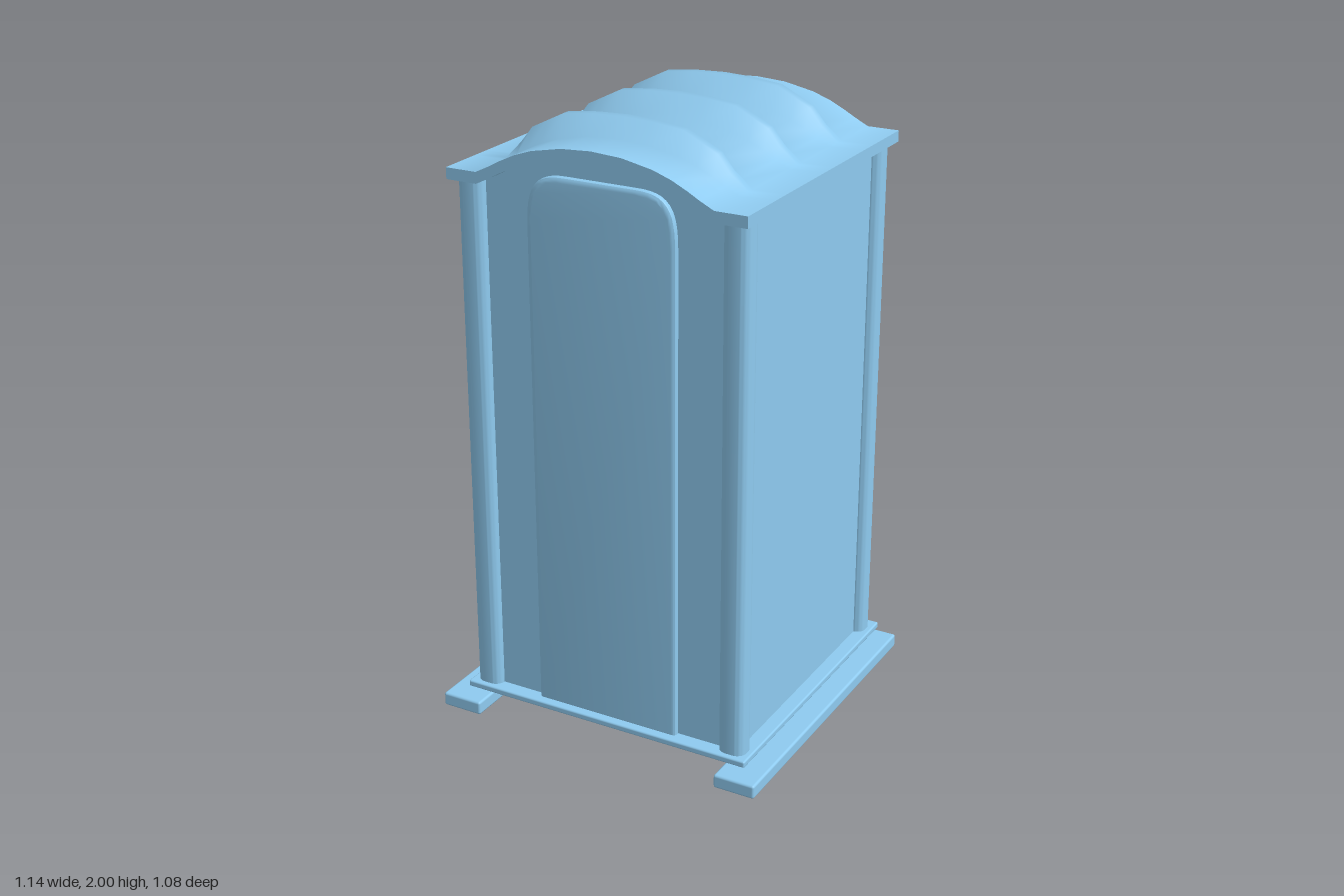
import * as THREE from 'three';
import { toCreasedNormals } from 'three/addons/utils/BufferGeometryUtils.js';
import { RoundedBoxGeometry } from 'three/addons/geometries/RoundedBoxGeometry.js';

const material = new THREE.MeshStandardMaterial({ color: 0x8fcbf0 });

function add(parent, name, geometry, x = 0, y = 0, z = 0) {
  const mesh = new THREE.Mesh(geometry, material);
  mesh.name = name;
  mesh.position.set(x, y, z);
  parent.add(mesh);
  return mesh;
}

// Half profile of the roof, rim to crown: x, plain height, height on a rib
const roofHalf = [
  [0.5, 1.825, 1.825], [0.395, 1.825, 1.825], [0.35, 1.847, 1.88], [0.31, 1.869, 1.93],
  [0.26, 1.893, 1.955], [0.2, 1.914, 1.985], [0.1, 1.934, 1.996], [0, 1.94, 2.0],
];
const roofProfile = [
  ...roofHalf,
  ...roofHalf.slice(0, -1).reverse().map(([x, y, r]) => [-x, y, r]),
];
const roofThickness = 0.036;

// Arched roof slab lofted front to back, swelling into three cross ribs
function roofGeometry() {
  const stations = [[-0.54, 0]];
  for (const c of [-0.3, -0.018, 0.3]) {
    stations.push([c - 0.042, 0], [c - 0.015, 1], [c + 0.015, 1], [c + 0.042, 0]);
  }
  stations.push([0.494, 0]);

  const n = roofProfile.length, m = 2 * n;
  const positions = [], index = [];
  for (const [z, rib] of stations) {
    for (const [x, y, r] of roofProfile) positions.push(x, y + (r - y) * rib, z);
    for (const [x, y] of [...roofProfile].reverse()) positions.push(x, y - roofThickness, z);
  }
  for (let i = 0; i < stations.length - 1; i++) {
    for (let j = 0; j < m; j++) {
      const a = i * m + j, b = i * m + (j + 1) % m;
      index.push(a, b, b + m, a, b + m, a + m);
    }
  }
  const f = (stations.length - 1) * m;
  for (let k = 0; k < n - 1; k++) {
    const q = [k, k + 1, m - 2 - k, m - 1 - k];
    index.push(f + q[0], f + q[1], f + q[2], f + q[0], f + q[2], f + q[3]);
    index.push(q[0], q[2], q[1], q[0], q[3], q[2]);
  }
  const geometry = new THREE.BufferGeometry();
  geometry.setAttribute('position', new THREE.Float32BufferAttribute(positions, 3));
  geometry.setIndex(index);
  return toCreasedNormals(geometry, 1.3);
}

// Cabin walls: one arched block reaching into the roof
function cabinGeometry() {
  const w = 0.46;
  const shape = new THREE.Shape();
  shape.moveTo(-w, 0.07);
  shape.lineTo(w, 0.07);
  shape.lineTo(w, 1.81);
  for (const [x, y] of roofProfile.slice(1, -1)) shape.lineTo(x, y - 0.02);
  shape.lineTo(-w, 1.81);
  const geometry = new THREE.ExtrudeGeometry(shape, { depth: 0.91, bevelEnabled: false });
  return toCreasedNormals(geometry, 0.6);
}

// Door leaf with softly rounded upper corners
function doorGeometry() {
  const w = 0.235, bottom = 0.085, top = 1.82;
  const shape = new THREE.Shape();
  shape.moveTo(-w, bottom);
  shape.lineTo(w, bottom);
  shape.lineTo(w, 1.67);
  shape.bezierCurveTo(w, 1.79, 0.21, top, 0.12, top);
  shape.lineTo(-0.12, top);
  shape.bezierCurveTo(-0.21, top, -w, 1.79, -w, 1.67);
  const geometry = new THREE.ExtrudeGeometry(shape, {
    depth: 0.01, bevelSize: 0.015, bevelThickness: 0.01, bevelSegments: 3, curveSegments: 12,
  });
  return toCreasedNormals(geometry, 0.6);
}

// Upright post with a rounded rectangular section
function postGeometry(width, depth, height, r) {
  const w = width / 2, d = depth / 2;
  const shape = new THREE.Shape();
  shape.absarc(w - r, d - r, r, 0, Math.PI / 2);
  shape.absarc(r - w, d - r, r, Math.PI / 2, Math.PI);
  shape.absarc(r - w, r - d, r, Math.PI, Math.PI * 1.5);
  shape.absarc(w - r, r - d, r, Math.PI * 1.5, Math.PI * 2);
  const geometry = new THREE.ExtrudeGeometry(shape, {
    depth: height, bevelEnabled: false, curveSegments: 6,
  });
  geometry.rotateX(-Math.PI / 2);
  return toCreasedNormals(geometry, 0.6);
}

export function createModel() {
  const model = new THREE.Group();
  model.name = 'portableCabin';

  // Base: two skids under a floor plate
  const skid = new RoundedBoxGeometry(0.14, 0.046, 1.08, 2, 0.008);
  for (const s of [-1, 1]) add(model, s > 0 ? 'leftSkid' : 'rightSkid', skid, s * 0.5, 0.023, 0);
  add(model, 'floorPlate', new RoundedBoxGeometry(1.016, 0.022, 1.014, 2, 0.006), 0, 0.071, -0.023);

  // Cabin
  add(model, 'cabinWalls', cabinGeometry(), 0, 0, -0.475);
  add(model, 'door', doorGeometry(), 0, 0, 0.435);

  // Corner posts
  const post = postGeometry(0.09, 0.078, 1.72, 0.032);
  for (const s of [-1, 1]) {
    const side = s > 0 ? 'Left' : 'Right';
    add(model, 'front' + side + 'Post', post, s * 0.445, 0.08, 0.427);
    add(model, 'rear' + side + 'Post', post, s * 0.445, 0.08, -0.466);
  }

  add(model, 'ribbedRoof', roofGeometry());
  return model;
}
